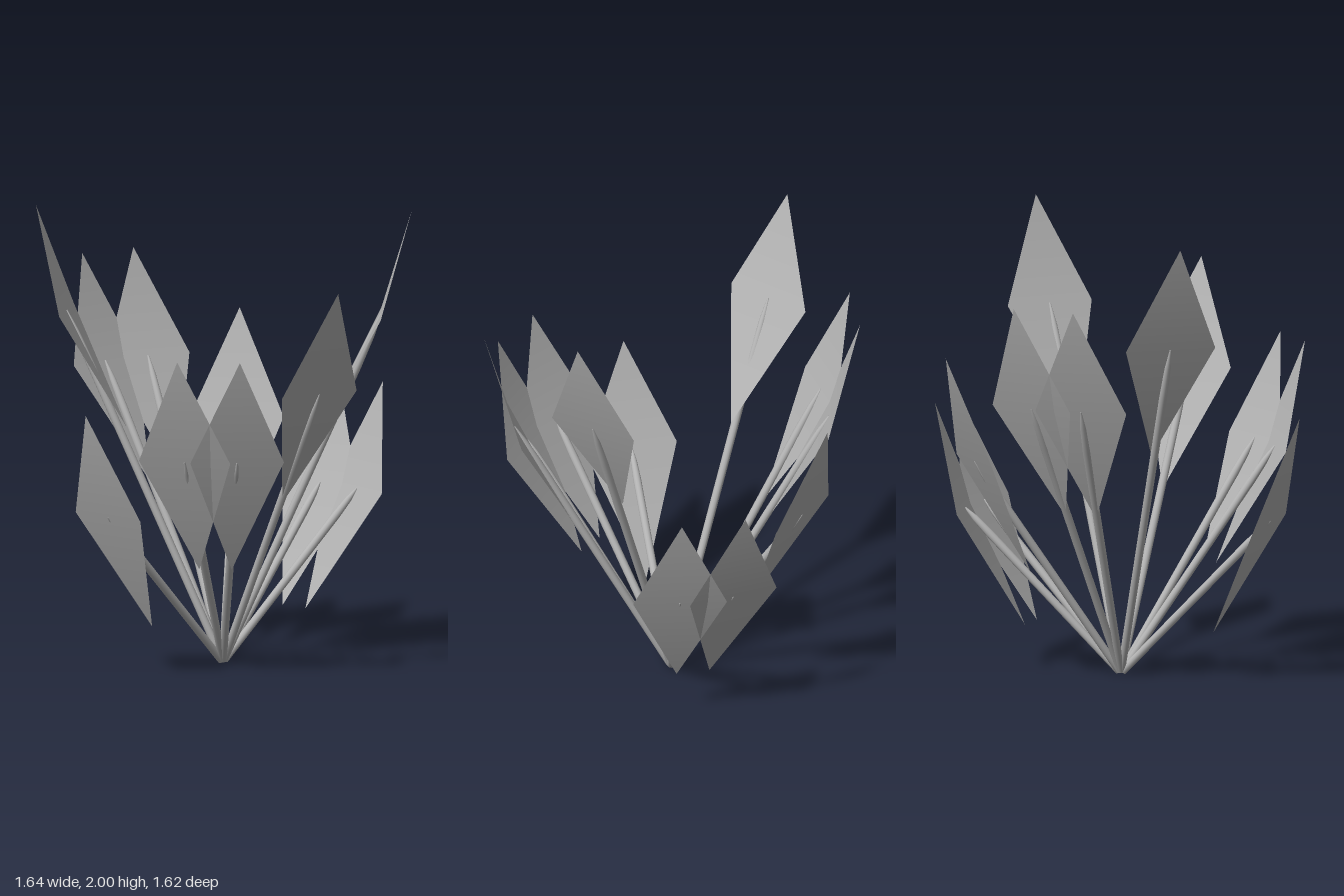
import * as THREE from 'three';

// Tip direction of each leaf (x, z) and the height of its widest line
const LEAVES = [
  [-0.39, -0.72, 1.535], [0.065, -0.816, 1.26], [0.337, -0.745, 1.26],
  [0.69, -0.437, 0.98], [0.816, 0.005, 0.71], [0.772, 0.285, 0.71],
  [0.497, 0.662, 1.535], [-0.215, 0.803, 1.26], [-0.615, 0.566, 0.98],
  [-0.765, 0.332, 0.98], [-0.816, -0.13, 0.71],
];
const REACH = 0.69; // radius at which every stem meets its leaf

// Diamond blade folded across its widest line; +z points outward
function leafGeometry() {
  const g = new THREE.BufferGeometry();
  g.setAttribute('position', new THREE.Float32BufferAttribute([
    0, -0.51, 0.425, 0.205, 0, REACH, 0, 0.46, 0.825, -0.205, 0, REACH,
  ], 3));
  g.setIndex([0, 1, 3, 1, 2, 3]);
  g.computeVertexNormals();
  return g;
}

// Round stem with a narrowing tip
function stemGeometry(length) {
  const profile = [
    [0, 0.012], [0.017, 0.012], [0.018, length * 0.85],
    [0.014, length * 0.94], [0.004, length], [0, length],
  ].map(([r, y]) => new THREE.Vector2(r, y));
  return new THREE.LatheGeometry(profile, 12);
}

export function createModel() {
  const model = new THREE.Group();
  model.name = 'plant';
  const grey = new THREE.MeshStandardMaterial({ color: 0xb4b4b4, side: THREE.DoubleSide });
  grey.name = 'plain grey';
  const blade = leafGeometry();

  for (const [x, z, height] of LEAVES) {
    const shoot = new THREE.Group();
    shoot.name = 'shoot';
    shoot.rotation.y = Math.atan2(x, z);

    const stem = new THREE.Mesh(stemGeometry(Math.hypot(REACH, height)), grey);
    stem.name = 'stem';
    stem.rotation.x = Math.atan2(REACH, height);

    const leaf = new THREE.Mesh(blade, grey);
    leaf.name = 'leaf';
    leaf.position.y = height;

    shoot.add(stem, leaf);
    model.add(shoot);
  }
  return model;
}
